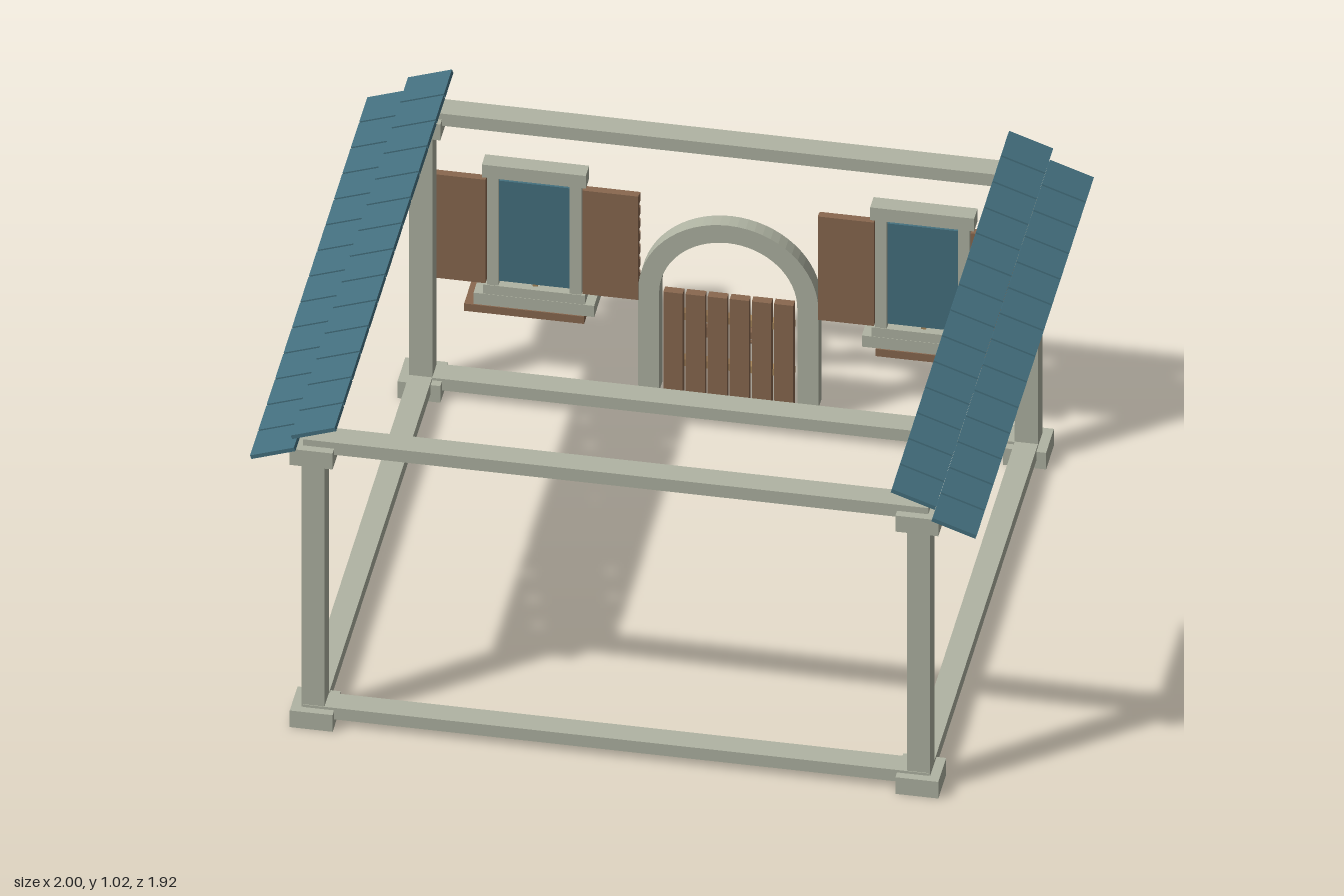
import * as THREE from 'three';

const mat = (name, color, opts = {}) => {
  const m = new THREE.MeshStandardMaterial({ color, ...opts });
  m.name = name;
  return m;
};

export function createModel() {
  const stone = mat('stone', 0xb0b4a3);
  const wood = mat('wood', 0x89684f);
  const lightWood = mat('lightWood', 0xa8875a);
  const slate = mat('slate', 0x44707f);

  const root = new THREE.Group();
  root.name = 'houseFrame';

  // Box given by its lower and upper limits on each axis
  const box = (parent, name, material, [x0, x1], [y0, y1], [z0, z1]) => {
    const mesh = new THREE.Mesh(new THREE.BoxGeometry(x1 - x0, y1 - y0, z1 - z0), material);
    mesh.position.set((x0 + x1) / 2, (y0 + y1) / 2, (z0 + z1) / 2);
    mesh.name = name;
    parent.add(mesh);
    return mesh;
  };
  const around = (c, half) => [c - half, c + half];
  const group = (name) => {
    const g = new THREE.Group();
    g.name = name;
    root.add(g);
    return g;
  };

  // Corner posts with footings and caps
  const px = 0.833, zFront = 0.89, zBack = -0.67;
  for (const sx of [-1, 1]) {
    for (const z of [zFront, zBack]) {
      const corner = group('cornerPost');
      box(corner, 'post', stone, around(sx * px, 0.032), [0.03, 0.9], around(z, 0.032));
      box(corner, 'footing', stone, around(sx * px, 0.059), [0.005, 0.06], around(z, 0.057));
      box(corner, 'cap', stone, around(sx * px, 0.059), [0.875, 0.928], around(z, 0.057));
    }
  }

  // Sill and top beams between the posts
  for (const [name, y] of [['sillBeam', [0.03, 0.068]], ['topBeam', [0.908, 0.948]]]) {
    for (const z of [zFront, zBack]) box(root, name, stone, [-0.86, 0.86], y, around(z, 0.034));
    for (const sx of [-1, 1]) box(root, name, stone, around(sx * px, 0.032), y, [zBack, zFront]);
  }

  // Two sloping rows of roof tiles along each side
  const tileCount = 14, zStart = -0.745, pitch = 1.705 / tileCount;
  for (const sx of [-1, 1]) {
    const roof = group('roofTiles');
    for (const [x, y] of [[0.937, 0.914], [0.825, 0.995]]) {
      for (let i = 0; i < tileCount; i++) {
        const z = zStart + pitch * (i + 0.5);
        const tile = box(roof, 'roofTile', slate, around(sx * x, 0.064), around(y, 0.006), around(z, 0.0575));
        tile.rotation.z = -sx * 0.335;
      }
    }
  }

  // Stone door arch
  const R = 0.248, r = 0.19, spring = 0.382, base = 0.055;
  const arch = new THREE.Shape();
  arch.moveTo(R, base);
  arch.lineTo(R, spring);
  arch.absarc(0, spring, R, 0, Math.PI, false);
  arch.lineTo(-R, base);
  arch.lineTo(-r, base);
  arch.lineTo(-r, spring);
  arch.absarc(0, spring, r, Math.PI, 0, true);
  arch.lineTo(r, base);
  arch.closePath();
  const archMesh = new THREE.Mesh(
    new THREE.ExtrudeGeometry(arch, { depth: 0.046, bevelEnabled: false, curveSegments: 16 }), stone);
  archMesh.position.z = -0.752;
  archMesh.name = 'doorArch';
  root.add(archMesh);

  // Plank door with battens and ring handles
  const door = group('door');
  for (let i = 0; i < 6; i++) {
    box(door, 'plank', wood, around((i - 2.5) * 0.0608, 0.0265), [0.035, 0.386], [-0.733, -0.708]);
  }
  for (const y of [0.295, 0.142]) box(door, 'batten', lightWood, [-0.175, 0.175], around(y, 0.011), [-0.757, -0.731]);
  for (const sx of [-1, 1]) {
    box(door, 'handlePlate', wood, around(sx * 0.055, 0.01), around(0.255, 0.012), [-0.752, -0.73]);
    const ring = new THREE.Mesh(new THREE.TorusGeometry(0.022, 0.005, 6, 14), wood);
    ring.position.set(sx * 0.055, 0.238, -0.757);
    ring.name = 'ringHandle';
    door.add(ring);
  }

  // Windows with shutters and small balconies, mirrored left and right
  const wx = 0.534;
  for (const sx of [-1, 1]) {
    const win = group(sx > 0 ? 'leftWindow' : 'rightWindow');
    const part = (name, m, [x0, x1], y, z) =>
      box(win, name, m, sx > 0 ? [x0, x1] : [-x1, -x0], y, z);

    part('lintel', stone, around(wx, 0.143), [0.703, 0.745], [-0.752, -0.703]);
    for (const s of [-1, 1]) part('jamb', stone, around(wx + s * 0.114, 0.016), [0.34, 0.705], [-0.745, -0.706]);
    part('lowerFrame', stone, around(wx, 0.14), [0.305, 0.347], [-0.75, -0.704]);
    part('windowSill', stone, around(wx, 0.166), [0.28, 0.317], [-0.816, -0.703]);
    part('glass', slate, around(wx, 0.1), [0.358, 0.69], [-0.722, -0.714]);

    // Glazing bars
    part('verticalBar', lightWood, around(wx, 0.007), [0.345, 0.705], [-0.735, -0.721]);
    part('crossBar', lightWood, around(wx, 0.1), around(0.525, 0.007), [-0.735, -0.721]);

    // Slatted shutters
    for (const s of [-1, 1]) {
      const cx = wx + s * 0.21;
      part('shutterPanel', wood, around(cx, 0.077), [0.352, 0.695], [-0.722, -0.704]);
      for (let i = 0; i < 8; i++) {
        const y = 0.3735 + i * 0.0429;
        part('shutterSlat', wood, around(cx, 0.077), around(y, 0.013), [-0.738, -0.72]);
      }
    }

    // Balcony floor, balusters and handrail
    const bx = 0.566;
    part('balconyFloor', wood, around(bx, 0.165), [0.234, 0.258], [-0.96, -0.73]);
    for (let i = 0; i < 5; i++) {
      part('baluster', lightWood, around(bx + (i - 2) * 0.073, 0.007), [0.256, 0.409], around(-0.947, 0.007));
    }
    part('handrail', wood, around(bx, 0.171), [0.406, 0.43], [-0.96, -0.934]);
  }

  return root;
}
